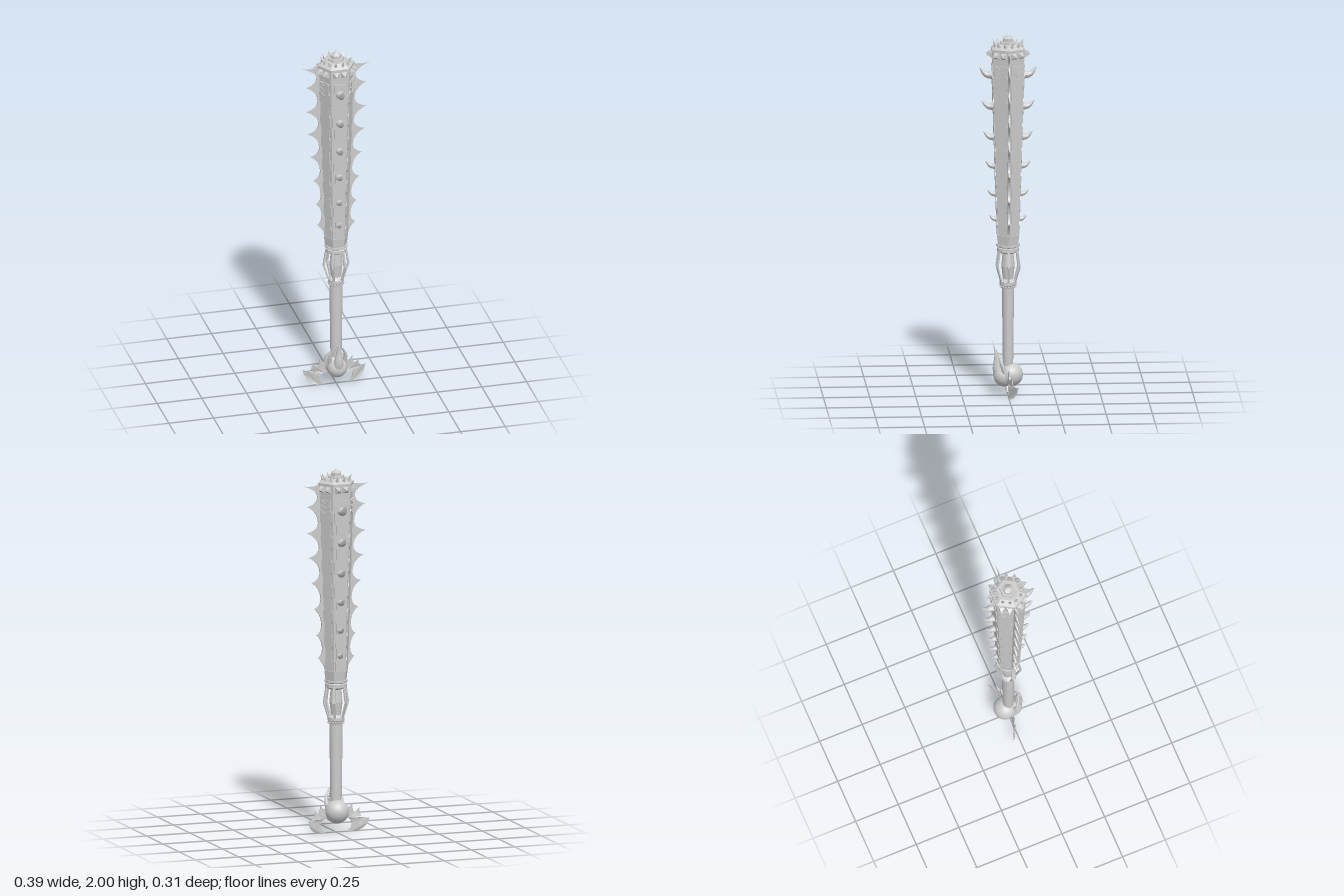
import * as THREE from 'three';

const flat = new THREE.MeshStandardMaterial({ color: 0xcccccc, flatShading: true });
const smooth = new THREE.MeshStandardMaterial({ color: 0xcccccc });
const thin = new THREE.MeshStandardMaterial({ color: 0xcccccc, flatShading: true, side: THREE.DoubleSide });

const Y0 = 0.86, Y1 = 1.87, A0 = 0.055, A1 = 0.085; // club body: heights and hexagon apothems
const apothem = (y) => A0 + (A1 - A0) * (y - Y0) / (Y1 - Y0);
const HEX = 1 / Math.cos(Math.PI / 6);

function add(parent, name, geometry, material = flat) {
  const mesh = new THREE.Mesh(geometry, material);
  mesh.name = name;
  parent.add(mesh);
  return mesh;
}

// Hexagonal frustum with corners on +x and -x; radii are corner radii
function hex(parent, name, y0, y1, r0, r1) {
  const g = new THREE.CylinderGeometry(r1, r0, y1 - y0, 6);
  g.rotateY(Math.PI / 6);
  g.translate(0, (y0 + y1) / 2, 0);
  return add(parent, name, g);
}

// Round horn swept along a curve, radius given by a function of 0..1
function horn(points, radius, rings = 12, sides = 12) {
  const curve = new THREE.CatmullRomCurve3(points.map((p) => new THREE.Vector3(...p)));
  const g = new THREE.TubeGeometry(curve, rings, 1, sides);
  const p = g.attributes.position, v = new THREE.Vector3();
  for (let i = 0; i < p.count; i++) {
    const t = Math.floor(i / (sides + 1)) / rings, c = curve.getPointAt(t);
    v.fromBufferAttribute(p, i).sub(c).multiplyScalar(radius(t)).add(c);
    p.setXYZ(i, v.x, v.y, v.z);
  }
  g.computeVertexNormals();
  return g;
}

// Flat blade from an outline; thickness and sideways bend depend on x
function blade(shape, thickness, bend = () => 0, mirror = 1) {
  const g = new THREE.ExtrudeGeometry(shape, { depth: 1, bevelEnabled: false, curveSegments: 6 });
  const p = g.attributes.position;
  for (let i = 0; i < p.count; i++) {
    const x = p.getX(i), side = p.getZ(i) > 0.5 ? 1 : -1;
    p.setX(i, x * mirror);
    p.setZ(i, bend(x) + side * thickness(x));
  }
  if (mirror < 0) { // restore the winding
    for (let i = 0; i < p.count; i += 3) {
      const a = new THREE.Vector3().fromBufferAttribute(p, i + 1);
      p.setXYZ(i + 1, p.getX(i + 2), p.getY(i + 2), p.getZ(i + 2));
      p.setXYZ(i + 2, a.x, a.y, a.z);
    }
  }
  g.computeVertexNormals();
  return g;
}

// Raised face plate with notched sides
function plateShape() {
  const right = [], n = 14, length = Y1 - Y0 - 0.05;
  for (let i = 0; i < n; i++) {
    const inset = i % 2 ? 0.016 : 0.006;
    for (const f of [0.12, 0.88]) {
      const y = 0.03 + length * (i + f) / n;
      right.push([apothem(Y0 + y) / Math.sqrt(3) - inset, y]);
    }
  }
  const left = right.map(([x, y]) => [-x, y]).reverse();
  return new THREE.Shape([...right, ...left].map(([x, y]) => new THREE.Vector2(x, y)));
}

// Scalloped row of upswept teeth
function finShape() {
  const tips = [[0.105, 0.966], [0.112, 1.093], [0.128, 1.236], [0.143, 1.38],
    [0.16, 1.52], [0.17, 1.655], [0.168, 1.8], [0.193, 1.916]];
  const s = new THREE.Shape();
  s.moveTo(0.05, 0.9);
  s.lineTo(0.068, 0.915);
  tips.forEach(([x, y], i) => {
    const root = apothem(y) * HEX + 0.008;
    s.quadraticCurveTo(root + 0.003, y - 0.025, x, y);
    if (i < tips.length - 1) s.quadraticCurveTo(root + 0.005, y + 0.012, root + 0.004, y + 0.055);
  });
  s.quadraticCurveTo(0.14, 1.905, 0.09, 1.92);
  s.lineTo(0.07, 1.9);
  return s;
}

function pommelBladeShape() {
  const s = new THREE.Shape();
  s.moveTo(0.045, 0.13);
  s.quadraticCurveTo(0.075, 0.125, 0.092, 0.155);
  s.quadraticCurveTo(0.092, 0.12, 0.105, 0.108);
  s.quadraticCurveTo(0.122, 0.115, 0.13, 0.135);
  s.quadraticCurveTo(0.128, 0.1, 0.14, 0.085);
  s.quadraticCurveTo(0.158, 0.075, 0.176, 0.08);
  s.bezierCurveTo(0.168, 0.02, 0.125, -0.008, 0.058, 0.006);
  s.quadraticCurveTo(0.1, 0.02, 0.09, 0.055);
  s.quadraticCurveTo(0.08, 0.08, 0.045, 0.08);
  return s;
}

export function createModel() {
  const model = new THREE.Group();
  model.name = 'spikedClub';

  // Club body and its end collars
  hex(model, 'body', Y0, Y1, A0 * HEX, A1 * HEX);
  hex(model, 'bodyFoot', 0.835, 0.895, 0.06, 0.068);
  hex(model, 'headCollar', 1.865, 1.93, 0.1, 0.103);
  hex(model, 'capSlope', 1.93, 1.953, 0.098, 0.065);
  hex(model, 'capStep', 1.95, 1.965, 0.047, 0.045);
  hex(model, 'capButton', 1.965, 1.982, 0.03, 0.03);
  hex(model, 'capPoint', 1.982, 2.0, 0.03, 0.004);

  // Six faces: notched plates, chevrons, collar studs and rim spikes
  const plate = new THREE.ExtrudeGeometry(plateShape(), { depth: 0.005, bevelEnabled: false });
  const stud = new THREE.ConeGeometry(0.025, 0.034, 4);
  stud.rotateY(Math.PI / 4);
  stud.rotateX(Math.PI / 2);
  const rimSpike = new THREE.ConeGeometry(0.013, 0.038, 4);
  for (let k = 0; k < 6; k++) {
    const face = new THREE.Group();
    face.name = 'face' + k;
    face.rotation.y = k * Math.PI / 3;
    model.add(face);
    const panel = new THREE.Group();
    panel.name = 'facePanel';
    panel.position.set(0, Y0, A0);
    panel.rotation.x = Math.atan((A1 - A0) / (Y1 - Y0));
    face.add(panel);
    add(panel, 'notchedPlate', plate);
    for (const s of [-1, 1]) {
      if (k % 3) {
        for (const y of [0.91, 0.94, 0.97]) {
          const bar = add(panel, 'chevron', new THREE.BoxGeometry(0.036, 0.008, 0.006));
          bar.position.set(s * 0.015, y, 0.005);
          bar.rotation.z = s * 0.6;
        }
      }
      add(face, 'collarStud', stud).position.set(s * 0.022, 1.898, 0.103);
      const spike = add(face, 'rimSpike', rimSpike);
      spike.position.set(s * 0.02, 1.955, 0.073);
      spike.rotation.x = 0.5;
    }
  }

  // Horns up the front and back: [height, tip height, tip reach]
  const horns = [[0.98, 1.005, 0.1], [1.12, 1.145, 0.112], [1.275, 1.305, 0.122],
    [1.435, 1.47, 0.133], [1.605, 1.64, 0.143], [1.78, 1.825, 0.154]];
  for (const dir of [1, -1]) {
    for (const [y, tipY, reach] of horns) {
      const a = apothem(y), r = 0.012 + 0.1 * (a - A0) / 0.3 + 0.004;
      const path = [[0, y, dir * (a - 0.005)], [0, y + 0.003, dir * (a + (reach - a) * 0.5)], [0, tipY, dir * reach]];
      add(model, 'horn', horn(path, (t) => r * Math.sqrt(1 - t) * (1 - 0.35 * t) + 0.0003), smooth);
    }
  }

  // Toothed fins on both sides
  for (const m of [1, -1]) {
    add(model, 'toothedFin', blade(finShape(), (x) => 0.008 * Math.max(0.06, 1 - (x - 0.05) / 0.13), undefined, m), thin);
  }

  // Neck: rings, tapered core and bowed cage bars
  const neck = [[0, 0.605], [0.036, 0.605], [0.046, 0.618], [0.046, 0.636], [0.036, 0.645], [0.028, 0.65],
    [0.036, 0.72], [0.03, 0.79], [0.052, 0.797], [0.06, 0.803], [0.06, 0.822], [0.054, 0.826], [0.064, 0.832], [0.064, 0.842], [0, 0.842]];
  add(model, 'neck', new THREE.LatheGeometry(neck.map(([x, y]) => new THREE.Vector2(x, y)), 12));
  for (let k = 0; k < 6; k++) {
    const bar = new THREE.Shape([[0.04, 0.635], [0.047, 0.635], [0.074, 0.72], [0.059, 0.81], [0.05, 0.81], [0.064, 0.72]]
      .map(([x, y]) => new THREE.Vector2(x, y)));
    add(model, 'cageBar', blade(bar, () => 0.006)).rotation.y = k * Math.PI / 3;
  }
  for (let k = 0; k < 16; k++) {
    const a = k * Math.PI / 8;
    add(model, 'neckBead', new THREE.SphereGeometry(0.007, 8, 6), smooth)
      .position.set(0.039 * Math.cos(a), 0.608, 0.039 * Math.sin(a));
  }

  // Handle
  const grip = add(model, 'handle', new THREE.CylinderGeometry(0.037, 0.031, 0.46, 16), smooth);
  grip.position.y = 0.385;
  grip.scale.z = 0.9;

  // Pommel ball, upturned hook and side blades
  const ball = add(model, 'pommelBall', new THREE.SphereGeometry(0.065, 32, 20), smooth);
  ball.position.set(0, 0.118, -0.016);
  const jaw = add(model, 'pommelFront', new THREE.SphereGeometry(0.056, 24, 16), smooth);
  jaw.position.set(0, 0.108, 0.022);
  const hook = horn([[0, 0.09, 0.035], [0, 0.15, 0.058], [0, 0.21, 0.06], [0, 0.262, 0.07]],
    (t) => 0.034 * Math.pow(1 - t, 0.7) + 0.0004, 16);
  add(model, 'pommelHook', hook, smooth);
  for (const s of [-1, 1]) {
    add(model, 'hookRoot', horn([[s * 0.038, 0.13, 0.02], [s * 0.044, 0.18, 0.035], [s * 0.026, 0.225, 0.05], [0, 0.255, 0.064]],
      (t) => 0.014 * (1 - t) + 0.001), smooth);
    add(model, 'pommelBlade', blade(pommelBladeShape(), (x) => 0.006 * Math.max(0.08, 1 - (x - 0.045) / 0.12),
      (x) => -4 * Math.max(0, x - 0.07) ** 2, s), thin);
  }
  return model;
}
